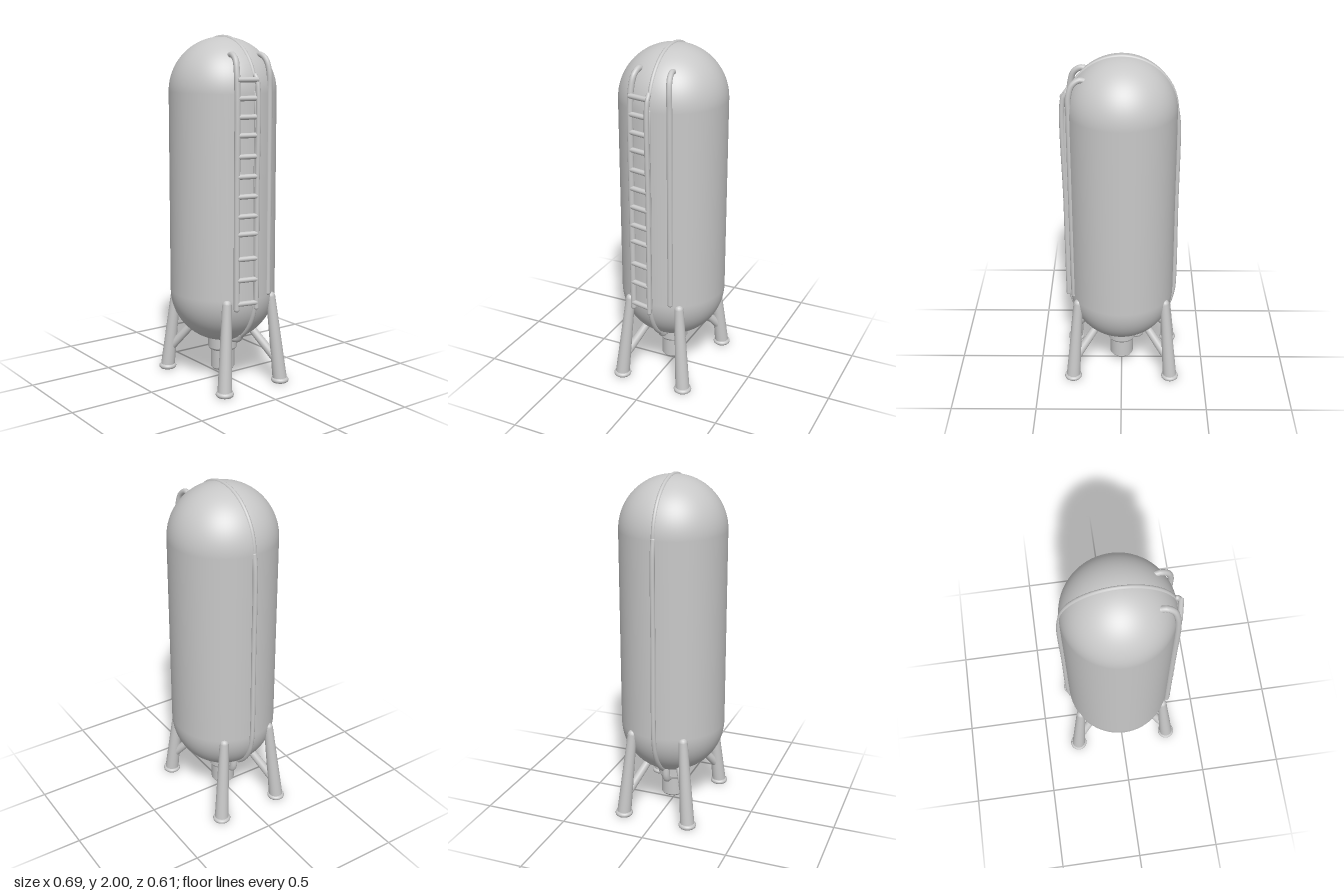
import * as THREE from 'three';

const V = (x, y, z) => new THREE.Vector3(x, y, z);

export function createModel() {
  const model = new THREE.Group();
  model.name = 'storageTank';
  const grey = new THREE.MeshStandardMaterial({ color: 0xc8c8c8 });
  grey.name = 'light grey';

  const add = (name, geometry, parent = model) => {
    const mesh = new THREE.Mesh(geometry, grey);
    mesh.name = name;
    parent.add(mesh);
    return mesh;
  };
  const lathe = (points, segments = 48) =>
    new THREE.LatheGeometry(points.map(([r, y]) => new THREE.Vector2(r, y)), segments);

  // Round bar between two points
  const bar = (name, a, b, r0, r1 = r0, parent = model) => {
    const mesh = add(name, new THREE.CylinderGeometry(r1, r0, a.distanceTo(b), 18), parent);
    mesh.position.copy(a).add(b).multiplyScalar(0.5);
    mesh.quaternion.setFromUnitVectors(V(0, 1, 0), b.clone().sub(a).normalize());
    return mesh;
  };
  // Bent pipe with rounded ends
  const pipe = (name, points, r, segments = 60) => {
    const curve = new THREE.CatmullRomCurve3(points, false, 'centripetal');
    add(name, new THREE.TubeGeometry(curve, segments, r, 12), model);
    for (const p of [points[0], points[points.length - 1]])
      add(name + 'End', new THREE.SphereGeometry(r, 12, 8)).position.copy(p);
  };

  // Tank body: straight shell with domed ends
  const R = 0.306, lowY = 0.535, highY = 1.685;
  const profile = [];
  for (let i = 0; i <= 20; i++) {
    const a = (i / 20 - 1) * Math.PI / 2;
    profile.push([R * Math.cos(a), lowY + R * Math.sin(a)]);
  }
  for (let i = 0; i <= 20; i++) {
    const a = i / 20 * Math.PI / 2;
    profile.push([R * Math.cos(a), highY + R * Math.sin(a)]);
  }
  add('tankBody', lathe(profile, 72));

  // Raised seam running over the top and down both sides
  const seam = [];
  for (let i = 0; i <= 24; i++) {
    const a = i / 24 * Math.PI;
    seam.push(V(0.3 * Math.cos(a), highY + 0.303 * Math.sin(a), 0));
  }
  add('topSeam', new THREE.TubeGeometry(new THREE.CatmullRomCurve3(seam), 80, 0.012, 10));
  for (const s of [-1, 1]) {
    const points = [V(s * 0.3, 1.69, 0), V(s * 0.311, 1.6, 0), V(s * 0.312, 1.1, 0), V(s * 0.312, 0.54, 0)];
    for (let i = 1; i <= 6; i++) {
      const a = i / 6 * 0.95;
      points.push(V(s * 0.308 * Math.cos(a), lowY - 0.308 * Math.sin(a), 0));
    }
    pipe('sidePipe', points, 0.014, 80);
  }
  pipe('leftDrain', [V(0.18, 0.29, 0), V(0.155, 0.26, 0), V(0.12, 0.25, 0), V(0.05, 0.245, 0)], 0.018, 20);
  pipe('rightDrain', [V(-0.118, 0.28, 0), V(-0.118, 0.21, 0), V(-0.105, 0.185, 0), V(-0.05, 0.18, 0)], 0.023, 24);

  // Bottom outlet with a wider collar
  add('outlet', lathe([
    [0, 0.032], [0.035, 0.035], [0.062, 0.046], [0.07, 0.056], [0.07, 0.056], [0.07, 0.165],
    [0.07, 0.165], [0.08, 0.17], [0.086, 0.18], [0.086, 0.18], [0.086, 0.255]], 36));

  // Ladder: a hooked handrail, a plain rail and rungs between them
  const hook = (z) => [V(0.19, 1.885, z * 0.85), V(0.222, 1.892, z * 0.88), V(0.262, 1.865, z * 0.94), V(0.283, 1.8, z)];
  pipe('ladderHandrail', [...hook(0.112), V(0.292, 1.7, 0.115), V(0.292, 1.1, 0.116), V(0.292, 0.49, 0.116)], 0.017, 90);
  pipe('ladderRail', [V(0.3, 1.78, 0), V(0.319, 1.75, 0), V(0.321, 1.1, 0), V(0.321, 0.49, 0)], 0.014, 60);
  const rungs = [1.76, 1.66, 1.56, 1.46, 1.345, 1.235, 1.125, 1.015, 0.915, 0.775, 0.655, 0.52];
  for (const y of rungs) bar('rung', V(0.296, y, 0.116), V(0.322, y, 0), 0.0145);

  // Separate handrail on the far side, sinking into the shell
  pipe('rearHandrail', [...hook(-0.11), V(0.284, 1.7, -0.112), V(0.284, 1.35, -0.113), V(0.281, 0.55, -0.114)], 0.016, 90);

  // Four splayed legs with round feet and braces
  for (const sx of [-1, 1]) for (const sz of [-1, 1]) {
    const leg = new THREE.Group();
    leg.name = 'leg';
    model.add(leg);
    const foot = V(sx * 0.295, 0.015, sz * 0.2), top = V(sx * 0.256, 0.515, sz * 0.157);
    bar('legPost', foot, top, 0.042, 0.027, leg);
    add('legCap', new THREE.SphereGeometry(0.027, 16, 8), leg).position.copy(top);
    const pad = add('footPad', lathe([
      [0, 0], [0.044, 0], [0.05, 0.006], [0.052, 0.014], [0.049, 0.022], [0.04, 0.028], [0, 0.028]], 28), leg);
    pad.position.set(foot.x, 0, foot.z);
    bar('brace', V(sx * 0.275, 0.14, sz * 0.182), V(sx * 0.145, 0.315, sz * 0.095), 0.026, 0.023, leg);
  }
  return model;
}
